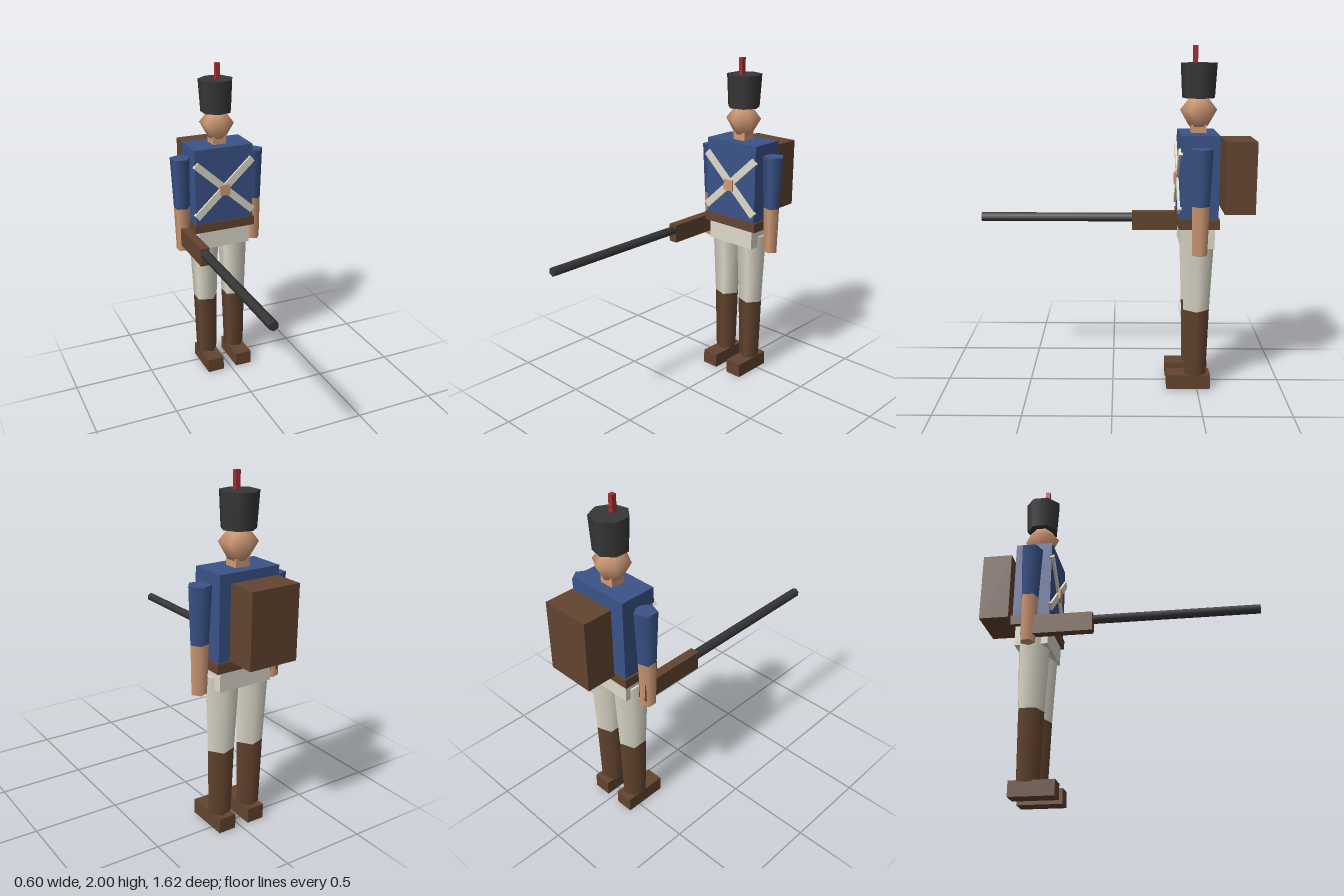
import * as THREE from 'three';

const mat = (name, color) => {
  const m = new THREE.MeshStandardMaterial({ color });
  m.name = name;
  return m;
};

export function createModel() {
  const model = new THREE.Group();
  model.name = 'toySoldier';

  const blue = mat('coat blue', 0x3a5388);
  const brown = mat('leather brown', 0x63442f);
  const cream = mat('cloth cream', 0xdedacb);
  const skin = mat('skin', 0xd09a75);
  const black = mat('felt black', 0x373737);
  const red = mat('plume red', 0xa03030);

  const CX = -0.008; // body axis
  const CZ = -0.487;

  const add = (name, geometry, material) => {
    const mesh = new THREE.Mesh(geometry, material);
    mesh.name = name;
    model.add(mesh);
    return mesh;
  };

  // Box given by its limits on each axis
  const box = (name, material, [x0, x1], [y0, y1], [z0, z1]) => {
    const mesh = add(name, new THREE.BoxGeometry(x1 - x0, y1 - y0, z1 - z0), material);
    mesh.position.set((x0 + x1) / 2, (y0 + y1) / 2, (z0 + z1) / 2);
    return mesh;
  };

  // Upright tapered prism with one corner pointing to +x
  const taper = (name, material, sides, x, [y0, r0], [y1, r1]) => {
    const g = new THREE.CylinderGeometry(r1, r0, y1 - y0, sides, 1, false, Math.PI / 2);
    const mesh = add(name, g, material);
    mesh.position.set(x, (y0 + y1) / 2, CZ);
    return mesh;
  };

  // Trunk
  box('torso', blue, [-0.195, 0.18], [1.04, 1.512], [-0.595, -0.378]);
  box('belt', brown, [-0.205, 0.19], [0.983, 1.04], [-0.603, -0.372]);
  box('hips', cream, [-0.175, 0.158], [0.866, 0.983], [-0.58, -0.387]);
  box('neck', skin, [-0.05, 0.036], [1.51, 1.56], [-0.53, -0.445]);

  // Head: six-sided, widest at the cheeks
  const profile = [[0, 1.545], [0.053, 1.547], [0.106, 1.64], [0.05, 1.712], [0, 1.715]]
    .map(([r, y]) => new THREE.Vector2(r, y));
  add('head', new THREE.LatheGeometry(profile, 6), skin).position.set(CX, 0, CZ);

  // Tall hat and plume
  taper('hat', black, 7, CX, [1.707, 0.096], [1.902, 0.107]);
  box('plume', red, [-0.021, 0.006], [1.89, 2], [-0.477, -0.449]);

  // Crossed straps and their buckle
  for (const s of [-1, 1]) {
    const strap = add('crossStrap', new THREE.BoxGeometry(0.5, 0.044, 0.022), cream);
    strap.position.set(CX, 1.255, -0.376);
    strap.rotation.z = s * 0.74;
  }
  box('buckle', skin, [-0.042, 0.024], [1.214, 1.281], [-0.385, -0.354]);

  // Limbs on both sides
  for (const [side, s] of [['left', 1], ['right', -1]]) {
    const armX = CX + s * 0.239;
    taper(side + 'Sleeve', blue, 5, armX, [1.128, 0.052], [1.445, 0.066]);
    taper(side + 'Forearm', skin, 5, armX, [0.848, 0.0445], [1.128, 0.052]);

    const legX = -0.009 + s * 0.098;
    taper(side + 'Thigh', cream, 5, legX, [0.487, 0.079], [0.932, 0.099]);
    taper(side + 'Boot', brown, 5, legX, [0.08, 0.068], [0.487, 0.079]);
    box(side + 'Foot', brown, [legX - 0.0535, legX + 0.0535], [0, 0.088], [-0.577, -0.32]);
  }

  // Backpack
  box('backpack', brown, [-0.154, 0.14], [1.06, 1.473], [-0.81, -0.635]);

  // Gun held level in the right hand
  box('gunStock', brown, [-0.271, -0.216], [0.888, 1], [-0.522, -0.115]);
  const barrel = add('gunBarrel', new THREE.CylinderGeometry(0.028, 0.028, 0.95, 6), black);
  barrel.rotation.x = Math.PI / 2;
  barrel.position.set(-0.242, 0.963, 0.335);

  return model;
}
